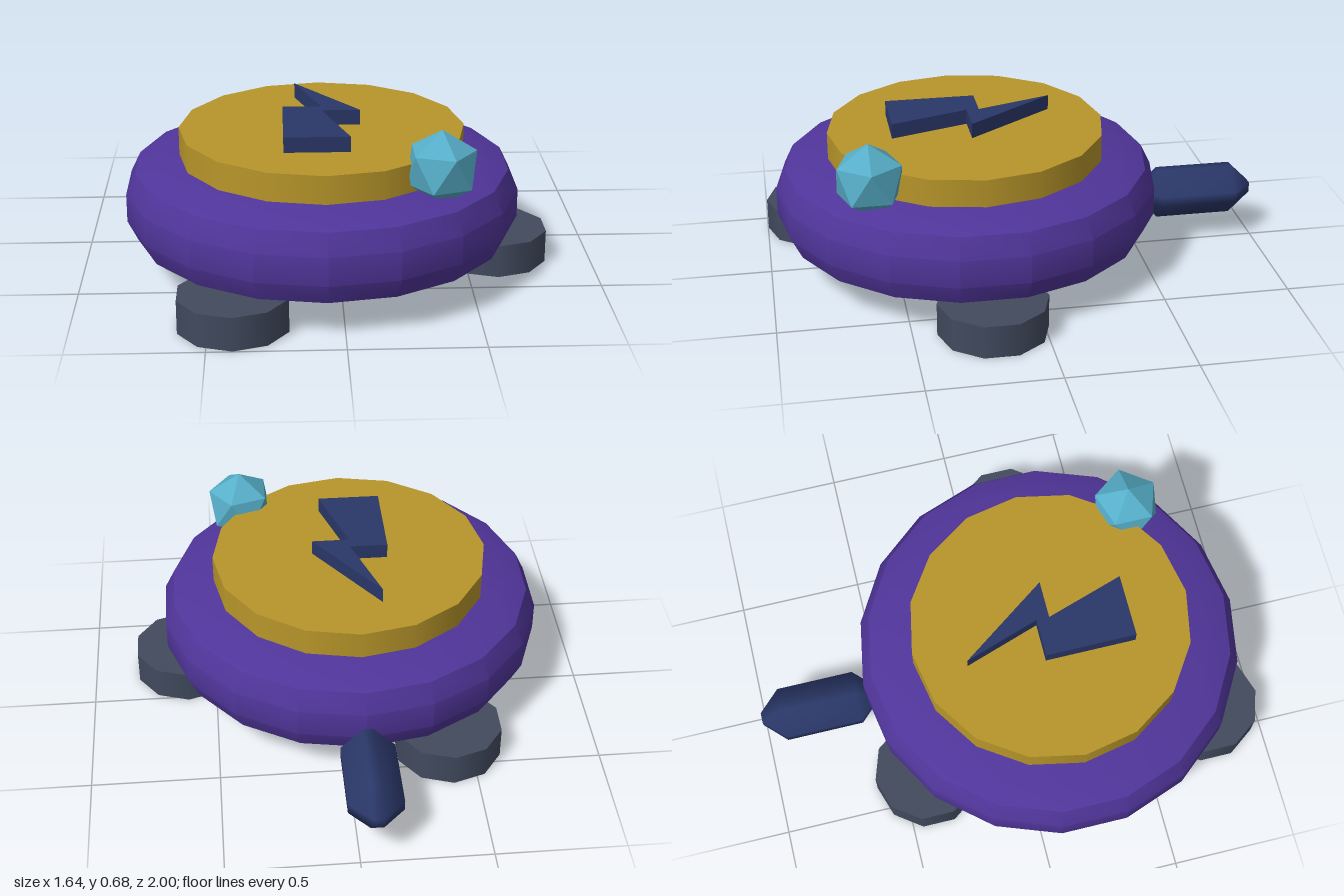
import * as THREE from 'three';
import { toCreasedNormals, mergeVertices } from 'three/addons/utils/BufferGeometryUtils.js';
import { ConvexGeometry } from 'three/addons/geometries/ConvexGeometry.js';

const paint = (color) => new THREE.MeshStandardMaterial({ color });

function add(parent, name, geometry, material, x = 0, y = 0, z = 0) {
  const mesh = new THREE.Mesh(geometry, material);
  mesh.name = name;
  mesh.position.set(x, y, z);
  parent.add(mesh);
  return mesh;
}

// Box whose edges are cut back so far that only small flats remain
function chamferedBar(half, length, cut) {
  const points = [];
  for (const sx of [-1, 1]) for (const sy of [-1, 1]) for (const sz of [-1, 1]) {
    const a = half - cut, l = length / 2;
    points.push(
      new THREE.Vector3(sx * half, sy * a, sz * (l - cut)),
      new THREE.Vector3(sx * a, sy * half, sz * (l - cut)),
      new THREE.Vector3(sx * a, sy * a, sz * l));
  }
  const geometry = new ConvexGeometry(points);
  geometry.deleteAttribute('normal');
  const smooth = mergeVertices(geometry);
  smooth.computeVertexNormals();
  return smooth;
}

export function createModel() {
  const model = new THREE.Group();
  model.name = 'badgeRobot';

  // Everything but the tail is arranged around the body's axis
  const body = new THREE.Group();
  body.name = 'body';
  body.position.set(-0.065, 0, 0.195);
  model.add(body);

  // Puck-shaped shell with bevelled rims
  const profile = [
    [0, 0.11], [0.64, 0.11], [0.726, 0.145], [0.765, 0.225],
    [0.765, 0.335], [0.726, 0.415], [0.635, 0.45], [0, 0.45],
  ].map(([r, y]) => new THREE.Vector2(r, y));
  add(body, 'shell', toCreasedNormals(new THREE.LatheGeometry(profile, 18), 0.56), paint(0x50359a));

  // Raised disc on top
  add(body, 'topDisc', new THREE.CylinderGeometry(0.553, 0.553, 0.12, 16), paint(0xb8962a), 0, 0.5, 0);

  // Three round feet, the first on the left
  const footMaterial = paint(0x414a5e);
  for (let i = 0; i < 3; i++) {
    const a = (i * Math.PI * 2) / 3;
    add(body, 'foot', new THREE.CylinderGeometry(0.213, 0.213, 0.13, 10), footMaterial,
      0.681 * Math.cos(a), 0.065, 0.681 * Math.sin(a));
  }

  // Zigzag emblem lying on the disc
  const zigzag = new THREE.Shape([
    [-0.1, 0.355], [0.15, 0.005], [0, 0.005], [0.1, -0.305],
    [-0.15, -0.305], [-0.15, 0.055], [0, 0.055],
  ].map(([x, y]) => new THREE.Vector2(x, y)));
  const emblem = new THREE.ExtrudeGeometry(zigzag, { depth: 0.06, bevelEnabled: false });
  emblem.rotateX(-Math.PI / 2);
  add(body, 'emblem', emblem, paint(0x2a3768), 0, 0.56, 0);

  // Faceted gem on the front left rim, one corner pointing straight up
  const gem = new THREE.IcosahedronGeometry(0.143, 0);
  gem.rotateZ(-Math.atan(2 / (1 + Math.sqrt(5))));
  const gemMaterial = paint(0x56aec8);
  gemMaterial.flatShading = true;
  add(body, 'gem', gem, gemMaterial, 0.425, 0.541, 0.425);

  // Chamfered tail bar at the back
  add(model, 'tail', chamferedBar(0.105, 0.48, 0.085), paint(0x2a3768), -0.065, 0.195, -0.76);

  return model;
}
